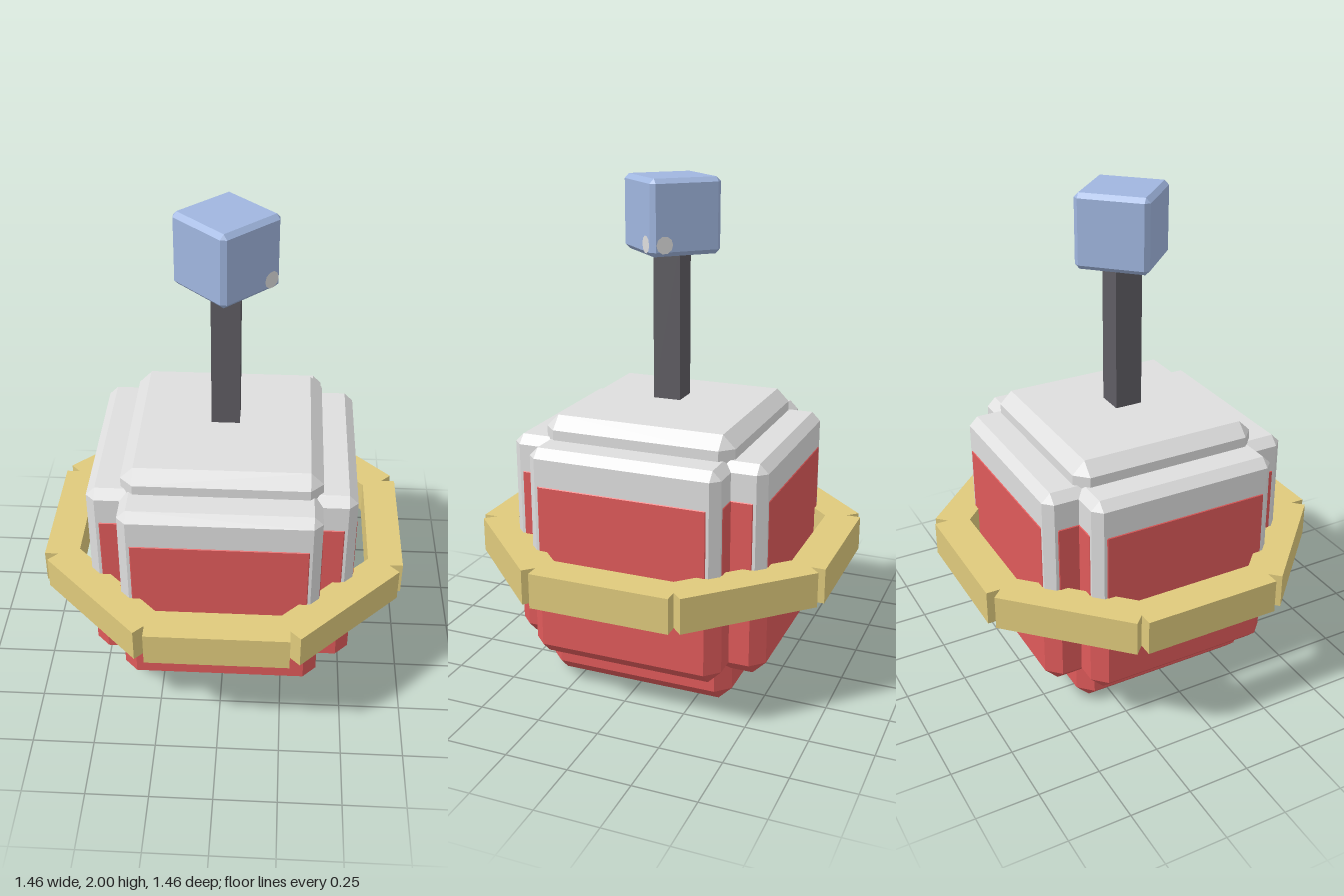
import * as THREE from 'three';
import { ConvexGeometry } from 'three/addons/geometries/ConvexGeometry.js';

const material = (name, color, side = THREE.FrontSide) => {
  const m = new THREE.MeshStandardMaterial({ color, side });
  m.name = name;
  return m;
};

// Box with every edge chamfered by b, centred on the origin
function chamferBox(w, h, d, b) {
  const half = [w / 2, h / 2, d / 2];
  const points = [];
  for (const sx of [-1, 1]) for (const sy of [-1, 1]) for (const sz of [-1, 1]) {
    const s = [sx, sy, sz];
    for (let axis = 0; axis < 3; axis++) {
      points.push(new THREE.Vector3(...half.map((v, i) => s[i] * (i === axis ? v : v - b))));
    }
  }
  return new ConvexGeometry(points);
}

export function createModel() {
  const model = new THREE.Group();
  model.name = 'potionFlask';

  const red = material('red', 0xdf5a5a);
  const white = material('white', 0xdedede);
  const gold = material('gold', 0xdfca7c);
  const dark = material('darkGrey', 0x5f5d63);
  const blue = material('blue', 0xa0b6df);

  const add = (name, geometry, mat, x = 0, y = 0, z = 0, parent = model) => {
    const mesh = new THREE.Mesh(geometry, mat);
    mesh.name = name;
    mesh.position.set(x, y, z);
    parent.add(mesh);
    return mesh;
  };
  const block = (name, w, d, y0, y1, b, mat) =>
    add(name, chamferBox(w, y1 - y0, d, b), mat, 0, (y0 + y1) / 2, 0);

  // Lower body: three crossing blocks; their flat sides stand just proud of the shell
  block('lowerCore', 0.78, 0.78, 0, 0.9, 0.055, red);
  block('lowerWide', 1.056, 0.786, 0.145, 0.915, 0.053, red);
  block('lowerDeep', 0.786, 1.056, 0.145, 0.915, 0.053, red);

  // Upper shell
  block('shellCore', 0.78, 0.78, 0.6, 1.1, 0.05, white);
  block('shellWide', 1.05, 0.78, 0.53, 1.01, 0.035, white);
  block('shellDeep', 0.78, 1.05, 0.53, 1.01, 0.035, white);

  // Eight-sided ring of bars
  const ring = new THREE.Group();
  ring.name = 'ring';
  model.add(ring);
  const barGeometry = new THREE.BoxGeometry(0.56, 0.14, 0.14);
  for (let i = 0; i < 8; i++) {
    const a = i * Math.PI / 4;
    const bar = add('ringBar', barGeometry, gold, Math.sin(a) * 0.662, 0.53, Math.cos(a) * 0.662, ring);
    bar.rotation.y = a;
  }

  // Stem floating just above the shell
  add('stem', new THREE.BoxGeometry(0.112, 0.625, 0.112), dark, 0, 1.4375, 0);

  // Top cube, turned to face a corner forwards
  const top = new THREE.Group();
  top.name = 'topCube';
  top.position.y = 1.855;
  top.rotation.y = Math.PI / 4;
  model.add(top);
  add('cube', chamferBox(0.291, 0.29, 0.291, 0.018), blue, 0, 0, 0, top);

  // Small pale spots either side of the front edge
  const spot = new THREE.CircleGeometry(0.034, 10);
  add('spotRight', spot, white, -0.092, -0.1, 0.147, top);
  add('spotLeft', spot, white, 0.147, -0.1, 0.092, top).rotation.y = Math.PI / 2;
  // Bring both spots to the shared front edge
  for (const part of top.children) {
    if (part.name === 'spotRight') part.position.x = 0.092;
  }

  return model;
}
